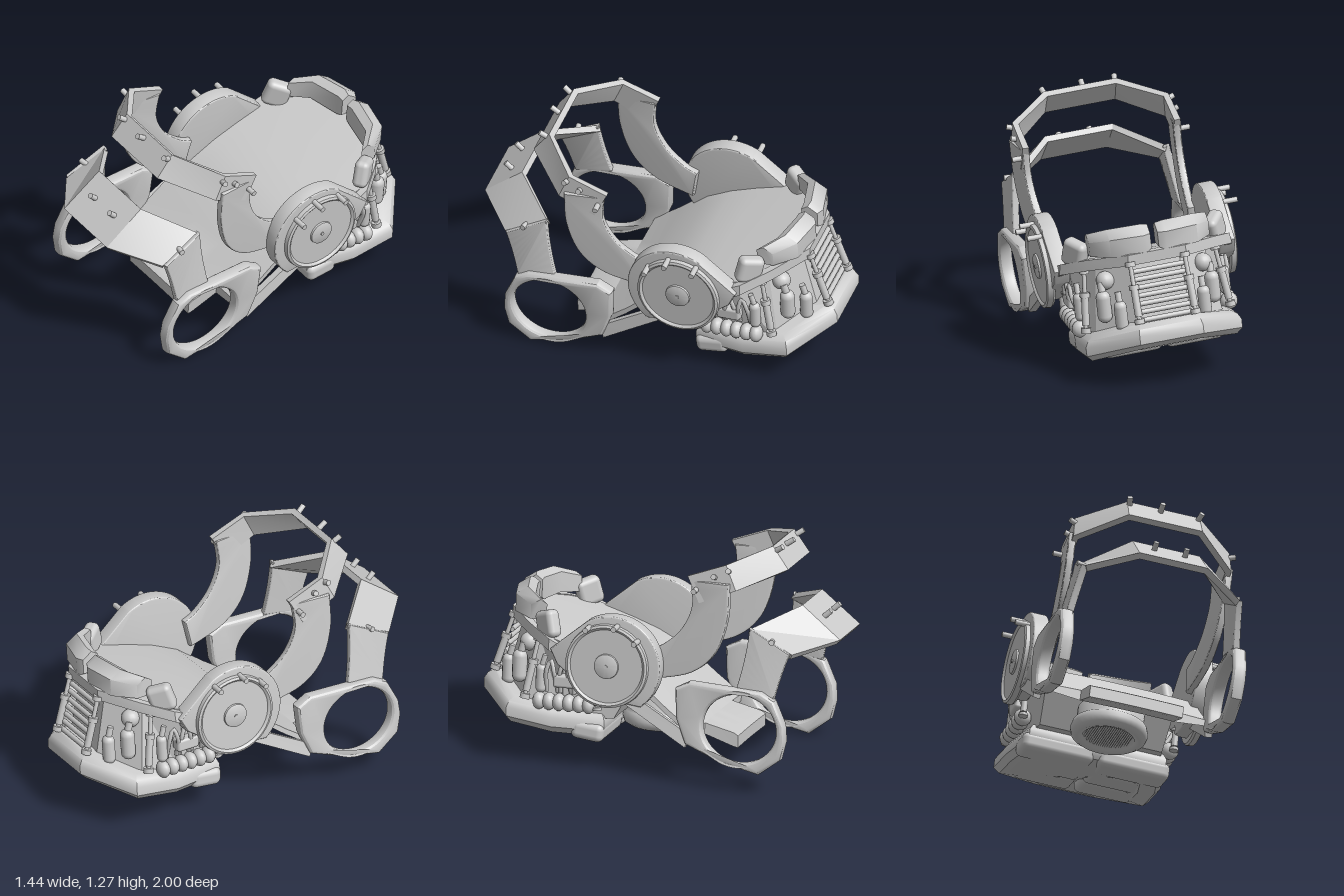
import * as THREE from 'three';
import { toCreasedNormals } from 'three/addons/utils/BufferGeometryUtils.js';
import { RoundedBoxGeometry } from 'three/addons/geometries/RoundedBoxGeometry.js';

const V = (x, y, z) => new THREE.Vector3(x, y, z);
const material = new THREE.MeshStandardMaterial({ color: 0xcccccc });

// Closed solid through equal-length loops of points, turned outward by its signed volume.
function loft(loops, crease = 0.5) {
  const tris = [], n = loops[0].length;
  for (let i = 0; i + 1 < loops.length; i++) {
    for (let j = 0; j < n; j++) {
      const a = loops[i][j], b = loops[i][(j + 1) % n], c = loops[i + 1][(j + 1) % n], d = loops[i + 1][j];
      tris.push([a, b, c], [a, c, d]);
    }
  }
  const first = loops[0], last = loops[loops.length - 1];
  for (let j = 1; j + 1 < n; j++) tris.push([first[0], first[j + 1], first[j]], [last[0], last[j], last[j + 1]]);
  const volume = tris.reduce((s, [a, b, c]) => s + a.dot(b.clone().cross(c)), 0);
  const pts = tris.flatMap(([a, b, c]) => (volume < 0 ? [a, c, b] : [a, b, c]));
  const g = new THREE.BufferGeometry().setFromPoints(pts);
  g.computeVertexNormals();
  return toCreasedNormals(g, crease);
}

// Strap across both sides. Each row, from the end to the middle: [x, yLow, zLow, yUp, zUp].
function strap(rows, t) {
  const all = [...rows, ...rows.slice().reverse().map(([x, ...r]) => [-x, ...r])];
  const low = all.map(r => V(r[0], r[1], r[2])), up = all.map(r => V(r[0] * 0.98, r[3], r[4]));
  return loft(all.map((r, i) => {
    const run = low[Math.min(i + 1, all.length - 1)].clone().sub(low[Math.max(i - 1, 0)]);
    const off = run.cross(up[i].clone().sub(low[i])).normalize().multiplyScalar(t);
    return [low[i], up[i], up[i].clone().add(off), low[i].clone().add(off)];
  }), 0.3);
}

// Plate lying in the side plane: shape x runs forward, shape y runs up.
function sidePlate(shape, depth, bevel = 0.01) {
  const g = new THREE.ExtrudeGeometry(shape, {
    depth: depth - 2 * bevel, bevelSize: bevel, bevelThickness: bevel, bevelOffset: -bevel, bevelSegments: 3, curveSegments: 28,
  });
  g.translate(0, 0, -depth / 2 + bevel).rotateY(-Math.PI / 2);
  return toCreasedNormals(g, 0.5);
}
const shapeOf = pts => new THREE.Shape(pts.map(p => new THREE.Vector2(...p)));
const mirrorLoop = half => [...half, ...half.slice().reverse().map(p => V(-p.x, p.y, p.z))];

export function createModel() {
  const model = new THREE.Group();
  const body = new THREE.Group();
  body.name = 'tiltedBody';
  body.position.set(0.13, 0.57, -0.22);
  body.rotation.set(0, -0.314, -0.113, 'YXZ');
  model.add(body);

  const add = (name, geo, x = 0, y = 0, z = 0) => {
    const m = new THREE.Mesh(geo, material);
    m.name = name;
    m.position.set(x, y, z);
    body.add(m);
    return m;
  };
  const rod = (name, a, b, r, sides = 14) => {
    const d = b.clone().sub(a);
    const m = add(name, new THREE.CylinderGeometry(r, r, d.length(), sides));
    m.position.copy(a).addScaledVector(d, 0.5);
    m.quaternion.setFromUnitVectors(V(0, 1, 0), d.normalize());
  };
  const peg = (p, dir, len = 0.055) => rod('peg', p, p.clone().addScaledVector(dir.normalize(), len), 0.015);
  const piston = (a, b, r) => {
    const at = t => a.clone().lerp(b, t);
    rod('pistonRod', a, b, r * 0.6);
    rod('pistonSleeve', at(0.12), at(0.55), r);
    for (const t of [0, 0.55, 0.92]) rod('pistonCollar', at(t), at(t + 0.08), r * 1.35);
  };

  // Seat sheet with a thick stepped front tongue; rows are [z, y, half width, middle x, thickness]
  const seatRows = [
    [0.685, -0.385, 0.26, 0.015, 0.065], [0.66, -0.37, 0.26, 0.015, 0.075], [0.5, -0.33, 0.26, 0.01, 0.06],
    [0.5, -0.33, 0.45, 0, 0.035], [0.35, -0.22, 0.45, 0, 0.035], [0.18, -0.08, 0.45, 0, 0.035],
    [0.04, -0.01, 0.45, 0, 0.035], [-0.1, 0.04, 0.45, 0, 0.035], [-0.3, 0.1, 0.43, 0, 0.035],
    [-0.43, 0.14, 0.33, 0, 0.035], [-0.57, 0.18, 0.14, 0, 0.035],
  ];
  add('seat', loft(seatRows.map(([z, y, w, mid, t]) => {
    const us = Array.from({ length: 9 }, (_, i) => i / 4 - 1);
    const row = h => us.map(u => V(mid + u * w, y + h - 0.05 * (u * w) ** 2, z));
    return [...row(0.01), ...row(0.01 - t).reverse()];
  }), 0.7));

  // Rail from the hand loops around the back rim
  add('rimRail', strap([
    [0.46, -0.41, 0.46, -0.34, 0.48], [0.45, -0.03, -0.18, 0.04, -0.18], [0.44, 0.04, -0.3, 0.1, -0.3],
    [0.33, 0.09, -0.43, 0.15, -0.43], [0.15, 0.13, -0.57, 0.19, -0.57],
  ], 0.04));

  // Hull wall under the seat
  const wallTop = [[0.36, 0.15], [0.41, -0.25], [0.3, -0.42], [0.13, -0.55]].map(([x, z]) => V(x, -0.04 - 0.33 * z, z));
  const wallLow = [[0.34, 0.02], [0.38, -0.25], [0.36, -0.48], [0.15, -0.66]].map(([x, z]) => V(x, -0.33, z));
  add('hullWall', loft([mirrorLoop(wallTop), mirrorLoop(wallLow)], 0.3));

  // Bumper basin around the bottom
  const basin = [[0.38, -0.315, -0.02], [0.43, -0.305, -0.3], [0.43, -0.27, -0.55], [0.175, -0.19, -0.75]];
  const basinRing = (k, drop) => mirrorLoop(basin.map(([x, y, z]) => V(x * k, y - drop, (z + 0.3) * k - 0.3)));
  add('bumperBasin', loft([basinRing(0.88, -0.02), basinRing(0.96, 0), basinRing(1, 0.03), basinRing(1, 0.08),
    basinRing(0.93, 0.115), basinRing(0.72, 0.13)], 0.6));

  // Pads below the basin, wrapping its edge
  for (const s of [-1, 1]) for (let i = 0; i < 3; i++) {
    const m = add('bellyPad', new RoundedBoxGeometry(0.4 - i * 0.04, 0.1, 0.18, 3, 0.035), s * (0.21 - i * 0.02), -0.4 + i * 0.025, -0.11 - i * 0.175);
    m.rotation.x = 0.12;
  }

  // Round thruster with a grille under the seat
  const nozzle = [[0, 0.03], [0.13, 0.03], [0.14, 0], [0.17, -0.01], [0.2, 0.01], [0.21, 0.04], [0.2, 0.075],
    [0.18, 0.09], [0.18, 0.16], [0.14, 0.21], [0.08, 0.25]];
  add('thruster', new THREE.LatheGeometry(nozzle.map(p => new THREE.Vector2(...p)), 36), 0, -0.41, 0.19);
  for (let i = -5; i <= 5; i++) {
    const x = i * 0.023, w = Math.sqrt(0.14 ** 2 - x * x);
    rod('thrusterGrille', V(x, -0.39, 0.19 - w), V(x, -0.39, 0.19 + w), 0.006, 6);
  }

  // Upper and lower arch straps
  add('upperArch', strap([[0.445, 0.38, 0.5, 0.52, 0.43], [0.44, 0.465, 0.7, 0.6, 0.64], [0.205, 0.55, 0.92, 0.67, 0.83]], 0.035));
  add('lowerArch', strap([[0.43, 0.145, 1.02, 0.26, 0.78], [0.19, 0.19, 1.215, 0.36, 1.0]], 0.035));
  peg(V(-0.02, 0.64, 0.85), V(0, 0.55, 0.8));

  // Hand loop: faceted outside, round opening
  const loopShape = shapeOf([[1.01, -0.23], [0.95, -0.1], [0.875, -0.06], [0.48, -0.04], [0.4, -0.083], [0.41, -0.247],
    [0.464, -0.384], [0.66, -0.466], [0.874, -0.513], [0.995, -0.42], [1.018, -0.318]]);
  loopShape.holes.push(new THREE.Path().absellipse(0.76, -0.273, 0.205, 0.187, 0, Math.PI * 2, true));
  const loopGeo = sidePlate(loopShape, 0.078, 0.024);

  // Post of the lower arch
  const post = new THREE.Shape().moveTo(1.01, 0.15);
  post.quadraticCurveTo(0.97, 0.05, 0.94, -0.1).lineTo(0.73, -0.06).quadraticCurveTo(0.775, 0.12, 0.78, 0.27);
  const postGeo = sidePlate(post, 0.04);

  // Curved arm from disc to upper arch
  const arm = new THREE.Shape().moveTo(0.67, 0.5);
  arm.splineThru([[0.665, 0.3], [0.6, 0.11], [0.466, -0.01], [0.25, -0.07]].map(p => new THREE.Vector2(...p)));
  arm.lineTo(0.22, 0.09);
  arm.splineThru([[0.3, 0.126], [0.4, 0.217], [0.46, 0.35], [0.45, 0.5]].map(p => new THREE.Vector2(...p)));
  const armGeo = sidePlate(arm, 0.042);

  // Thick plate behind the disc, pointed at the back
  const back = new THREE.Shape().absarc(0.04, 0, 0.27, -0.9, 2.1, false);
  back.lineTo(-0.3, 0.06).lineTo(-0.26, -0.02).lineTo(-0.05, -0.18);
  const backGeo = sidePlate(back, 0.09);

  // Side disc profile: raised rim, flat face, hub
  const disc = [[0, 0], [0.222, 0], [0.23, 0.012], [0.226, 0.042], [0.213, 0.048], [0.204, 0.042], [0.2, 0.036],
    [0.068, 0.036], [0.066, 0.046], [0.058, 0.05], [0, 0.05]].map(p => new THREE.Vector2(...p));
  const discGeo = toCreasedNormals(new THREE.LatheGeometry(disc, 40).toNonIndexed(), 0.6);

  // Cross-section of a seat-back pad
  const padAt = (x, y, z, h, d) => [[y, z - d], [y + h * 0.7, z - d], [y + h, z - d * 0.4], [y + h * 0.8, z], [y, z]].map(([py, pz]) => V(x, py, pz));

  for (const s of [-1, 1]) {
    add('handLoop', loopGeo, s * 0.48);
    add('lowerArchPost', postGeo, s * 0.45).rotation.z = s * 0.13;
    add('upperArm', armGeo, s * 0.37).rotation.y = s * 0.1;
    add('discBackPlate', backGeo, s * 0.455);
    add('sideDisc', discGeo, s * 0.48, 0, 0.02).rotation.z = -s * Math.PI / 2;
    rod('discCap', V(s * 0.52, 0, 0.02), V(s * 0.535, 0, 0.02), 0.01);

    for (const [y, z] of [[0.15, 0.185], [0.22, 0.07], [0.2, -0.085]]) peg(V(s * 0.46, y, z), V(s, 0, 0), 0.12);
    peg(V(s * 0.19, 0.64, 0.84), V(s * 0.2, 0.55, 0.8));
    peg(V(s * 0.41, 0.56, 0.65), V(s, 0.3, 0.2));
    peg(V(s * 0.41, 0.52, 0.58), V(s, 0.3, 0));
    peg(V(s * 0.41, 0.45, 0.48), V(s, 0, 0), 0.08);
    peg(V(s * 0.085, 0.28, 1.09), V(0, 0.7, 0.75));
    peg(V(s * 0.4, 0.2, 0.9), V(s, 0.1, 0.2));

    add('backPad', loft([padAt(s * 0.02, 0.2, -0.5, 0.12, 0.09), padAt(s * 0.06, 0.18, -0.5, 0.15, 0.11),
      padAt(s * 0.24, 0.18, -0.46, 0.14, 0.11), padAt(s * 0.33, 0.17, -0.37, 0.11, 0.09)], 0.7));
    const sidePad = add('sidePad', new RoundedBoxGeometry(0.08, 0.15, 0.14, 3, 0.03), s * 0.385, 0.165, -0.345);
    sidePad.rotation.set(-0.3, s * 0.65, 0, 'YXZ');

    // Machinery on the hull wall
    piston(V(s * 0.4, -0.25, -0.46), V(s * 0.36, 0.09, -0.4), 0.02);
    piston(V(s * 0.155, -0.17, -0.7), V(s * 0.15, 0.15, -0.6), 0.02);
    piston(V(s * 0.42, -0.27, -0.05), V(s * 0.42, -0.06, -0.06), 0.018);
    for (let i = 0; i < 6; i++) {
      const m = add('ribbedTank', new THREE.SphereGeometry(0.048, 14, 10), s * 0.41, -0.25, -0.1 - i * 0.055);
      m.scale.z = 0.75;
    }
    add('gearBox', new RoundedBoxGeometry(0.07, 0.07, 0.13, 2, 0.015), s * 0.41, -0.13, -0.23);
    for (let i = 0; i < 3; i++) {
      const z = -0.13 - i * 0.075;
      const hose = new THREE.CatmullRomCurve3([V(s * 0.39, -0.2, z), V(s * 0.44, -0.08, z - 0.01), V(s * 0.43, -0.02, z - 0.03),
        V(s * 0.43, -0.08, z - 0.055), V(s * 0.39, -0.2, z - 0.06)]);
      add('hose', new THREE.TubeGeometry(hose, 20, 0.012, 8));
    }
    [[0.4, -0.13, -0.37, 0.03], [0.3, -0.1, -0.52, 0.04], [0.23, -0.14, -0.6, 0.035]].forEach(([x, y, z, r]) => {
      add('canister', new THREE.CapsuleGeometry(r, 0.1, 5, 14), s * x, y, z);
      rod('canisterNeck', V(s * x, y + 0.06, z), V(s * x, y + 0.13, z + 0.02), r * 0.5);
    });
    add('dome', new THREE.SphereGeometry(0.05, 16, 12), s * 0.27, 0.03, -0.48);
  }

  // Slatted vent at the back
  for (let i = 0; i < 7; i++) {
    const y = -0.16 + i * 0.042, z = -0.675 + i * 0.012;
    rod('ventSlat', V(-0.14, y, z), V(0.14, y, z), 0.014, 10);
  }
  return model;
}
